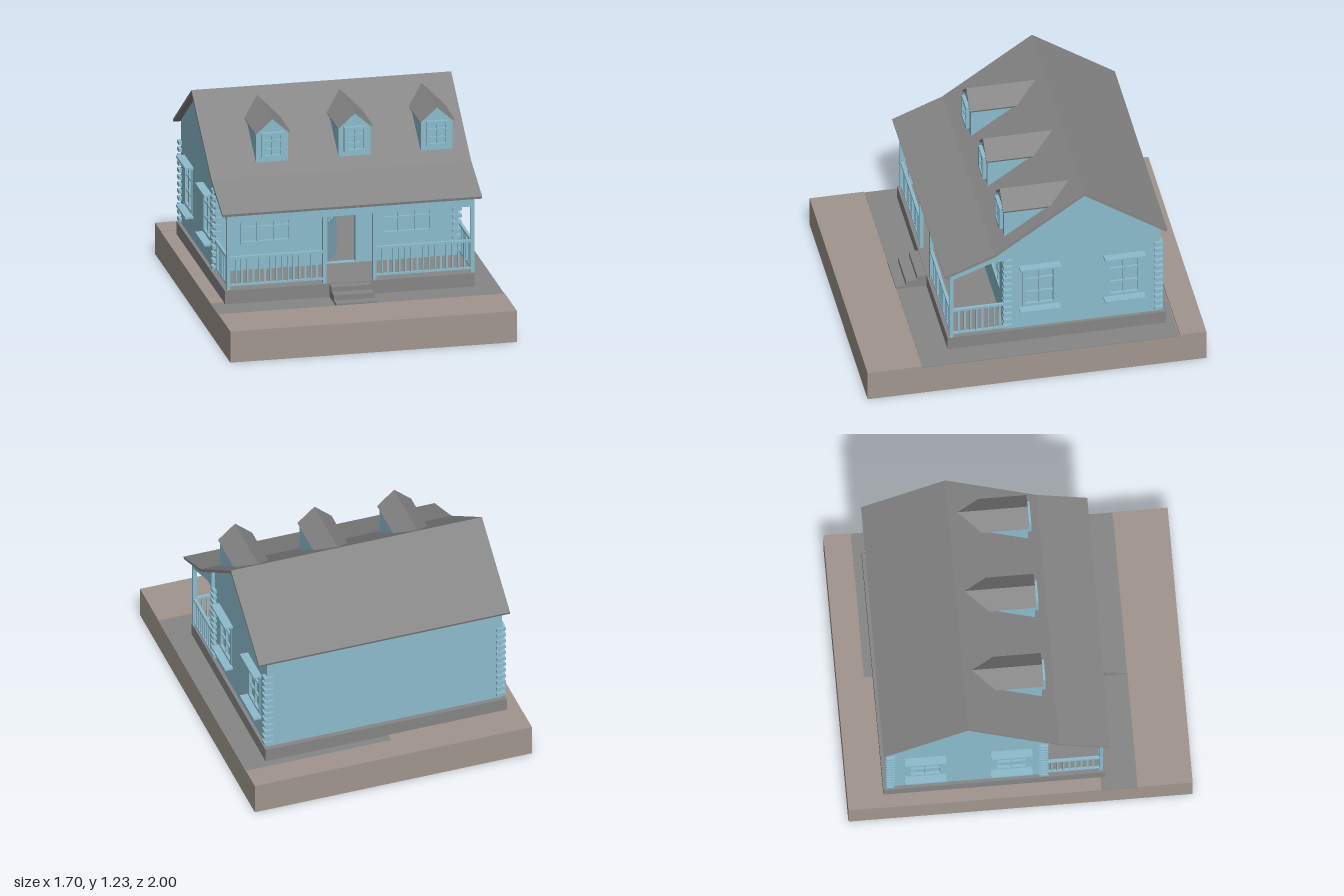
import * as THREE from 'three';

const mat = (color) => new THREE.MeshStandardMaterial({ color });
const BLUE = mat(0x8cbccd), GREY = mat(0x868686), TAUPE = mat(0xa0968e);

export function createModel() {
  const house = new THREE.Group();
  house.name = 'house';

  // Box given by its limits on each axis
  function box(name, x0, x1, y0, y1, z0, z1, m = BLUE, parent = house) {
    const mesh = new THREE.Mesh(new THREE.BoxGeometry(x1 - x0, y1 - y0, z1 - z0), m);
    mesh.position.set((x0 + x1) / 2, (y0 + y1) / 2, (z0 + z1) / 2);
    mesh.name = name;
    parent.add(mesh);
    return mesh;
  }

  const rectPath = (x0, x1, y0, y1) => new THREE.Path([
    [x0, y0], [x0, y1], [x1, y1], [x1, y0]].map(p => new THREE.Vector2(...p)));

  function extrude(points, depth, holes = []) {
    const shape = new THREE.Shape(points.map(p => new THREE.Vector2(...p)));
    shape.holes = holes.map(h => rectPath(...h));
    return new THREE.ExtrudeGeometry(shape, { depth, bevelEnabled: false });
  }

  function add(name, geometry, m = BLUE, parent = house) {
    const mesh = new THREE.Mesh(geometry, m);
    mesh.name = name;
    parent.add(mesh);
    return mesh;
  }

  // Side profile (z, y) swept from x0 to x1
  function sideProfile(name, points, x0, x1, m, holes) {
    const g = extrude(points, x1 - x0, holes);
    g.rotateY(-Math.PI / 2);
    g.translate(x1, 0, 0);
    return add(name, g, m);
  }

  // Framed window facing +z, centred on its origin
  function windowUnit(name, w, h, cols, rows) {
    const g = new THREE.Group();
    g.name = name;
    const f = 0.016, hw = w / 2, hh = h / 2;
    add('frame', extrude([[-hw, -hh], [hw, -hh], [hw, hh], [-hw, hh]], 0.022,
      [[-hw + f, hw - f, -hh + f, hh - f]]), BLUE, g).position.z = -0.016;
    box('pane', -hw + f, hw - f, -hh + f, hh - f, -0.018, -0.012, BLUE, g);
    for (let i = 1; i < cols; i++) {
      const x = -hw + (w * i) / cols;
      box('muntin', x - 0.005, x + 0.005, -hh + f, hh - f, -0.014, 0.001, BLUE, g);
    }
    for (let j = 1; j < rows; j++) {
      const y = -hh + (h * j) / rows;
      box('crossMuntin', -hw + f, hw - f, y - 0.005, y + 0.005, -0.014, 0, BLUE, g);
    }
    house.add(g);
    return g;
  }

  // Ground slab, sunken path and raised lawn strips
  box('ground', -0.85, 0.85, 0, 0.18, -1, 1, TAUPE);
  box('path', -0.85, 0.85, 0.18, 0.184, -0.84, 0.68, GREY);
  box('frontLawn', -0.85, 0.85, 0.18, 0.19, 0.68, 1, TAUPE);
  box('backLawn', -0.85, 0.85, 0.18, 0.19, -1, -0.845, TAUPE);
  box('backLawnEdge', -0.85, -0.04, 0.18, 0.187, -0.845, -0.78, TAUPE);
  box('leftLawn', -0.85, -0.76, 0.18, 0.187, -0.78, 0.47, TAUPE);

  // Foundation and front steps
  box('foundation', -0.77, 0.71, 0.18, 0.265, -0.79, 0.5, GREY);
  [[0.555, 0.26], [0.62, 0.232], [0.68, 0.2]].forEach(([z, y]) =>
    box('step', -0.15, 0.09, 0.18, y, 0.49, z, GREY));

  // Gable walls with window openings
  const sideWindows = [-0.045, -0.545];
  const gable = [[-0.76, 0.265], [0.155, 0.265], [0.155, 0.89], [-0.3, 1.21], [-0.76, 0.89]];
  const openings = sideWindows.map(z => [z - 0.098, z + 0.098, 0.417, 0.7]);
  sideProfile('rightGableWall', gable, -0.75, -0.72, BLUE, openings);
  sideProfile('leftGableWall', gable, 0.66, 0.69, BLUE, openings);
  box('backWall', -0.72, 0.66, 0.265, 0.89, -0.76, -0.73);

  // Front wall with door and two wide windows
  add('frontWall', extrude([[-0.72, 0.265], [0.66, 0.265], [0.66, 0.885], [-0.72, 0.885]], 0.03,
    [[-0.097, 0.08, 0.27, 0.615], [-0.6, -0.297, 0.42, 0.62], [0.235, 0.538, 0.42, 0.62]]))
    .position.z = 0.125;
  [-0.448, 0.387].forEach(x =>
    windowUnit('frontWindow', 0.303, 0.2, 3, 2).position.set(x, 0.52, 0.15));

  // Side windows with head and sill boards
  [[-0.75, -1], [0.69, 1]].forEach(([wallX, s]) => sideWindows.forEach(z => {
    const w = windowUnit('sideWindow', 0.196, 0.283, 2, 3);
    w.rotation.y = s * Math.PI / 2;
    w.position.set(wallX, 0.5585, z);
    [0.139, -0.161].forEach(y =>
      box('ledge', -0.12, 0.12, y, y + 0.013, -0.005, 0.05, BLUE, w));
  }));

  // Door standing open inward, hinged on its right side
  const door = new THREE.Group();
  door.name = 'door';
  const panes = [];
  for (let i = 0; i < 3; i++) for (let j = 0; j < 2; j++)
    panes.push([0.02 + i * 0.05, 0.06 + i * 0.05, 0.24 + j * 0.048, 0.28 + j * 0.048]);
  add('doorLeaf', extrude([[0, 0], [0.175, 0], [0.175, 0.34], [0, 0.34]], 0.015, panes), BLUE, door);
  door.position.set(-0.095, 0.27, 0.13);
  door.rotation.y = Math.PI / 3;
  house.add(door);

  // Stacked log ends at the four corners
  for (let i = 0; i < 12; i++) {
    const y = 0.282 + i * 0.0425;
    [[-0.77, -0.715], [0.655, 0.71]].forEach(([x0, x1]) =>
      [[0.118, 0.168], [-0.773, -0.725]].forEach(([z0, z1]) =>
        box('logEnd', x0, x1, y, y + 0.02, z0, z1)));
  }

  // Main roof, flaring over the porch
  sideProfile('roof', [[-0.79, 0.89], [-0.785, 0.875], [-0.3, 1.21], [0.23, 0.84],
    [0.522, 0.725], [0.525, 0.74], [0.23, 0.86], [-0.3, 1.23]], -0.79, 0.75, GREY);

  // Porch beams and posts
  const sideBeam = [[0.15, 0.775], [0.23, 0.775], [0.49, 0.674], [0.49, 0.737], [0.23, 0.84], [0.15, 0.89]];
  sideProfile('rightPorchBeam', sideBeam, -0.756, -0.734, BLUE);
  sideProfile('leftPorchBeam', sideBeam, 0.69, 0.711, BLUE);
  box('frontPorchBeam', -0.734, 0.69, 0.67, 0.736, 0.467, 0.489);
  [-0.745, -0.175, 0.12, 0.701].forEach(x =>
    box('porchPost', x - 0.011, x + 0.011, 0.265, 0.69, 0.466, 0.488));

  // Railing of length len along local x
  function railing(x, z, len, count, turn) {
    const g = new THREE.Group();
    g.name = 'railing';
    box('topRail', 0, len, 0.45, 0.464, -0.009, 0.009, BLUE, g);
    box('bottomRail', 0, len, 0.286, 0.297, -0.007, 0.007, BLUE, g);
    for (let i = 1; i <= count; i++) {
      const b = (len * i) / (count + 1);
      box('baluster', b - 0.005, b + 0.005, 0.297, 0.45, -0.005, 0.005, BLUE, g);
    }
    g.position.set(x, 0, z);
    g.rotation.y = turn;
    house.add(g);
  }
  railing(-0.734, 0.477, 0.548, 15, 0);
  railing(0.131, 0.477, 0.559, 15, 0);
  railing(-0.745, 0.466, 0.311, 8, Math.PI / 2);
  railing(0.701, 0.466, 0.311, 8, Math.PI / 2);

  // Three dormers
  [-0.414, 0.075, 0.562].forEach(x => {
    const body = add('dormerBody', extrude([[-0.094, 0.917], [0.094, 0.917], [0.094, 1.095],
      [0, 1.18], [-0.094, 1.095]], 0.275, []));
    body.position.set(x, 0, -0.12);
    const roof = add('dormerRoof', extrude([[-0.105, 1.1], [-0.1, 1.088], [0, 1.177],
      [0.1, 1.088], [0.105, 1.1], [0, 1.192]], 0.41), GREY);
    roof.position.set(x, 0, -0.247);
    windowUnit('dormerWindow', 0.128, 0.152, 2, 3).position.set(x, 1.022, 0.172);
  });

  return house;
}
